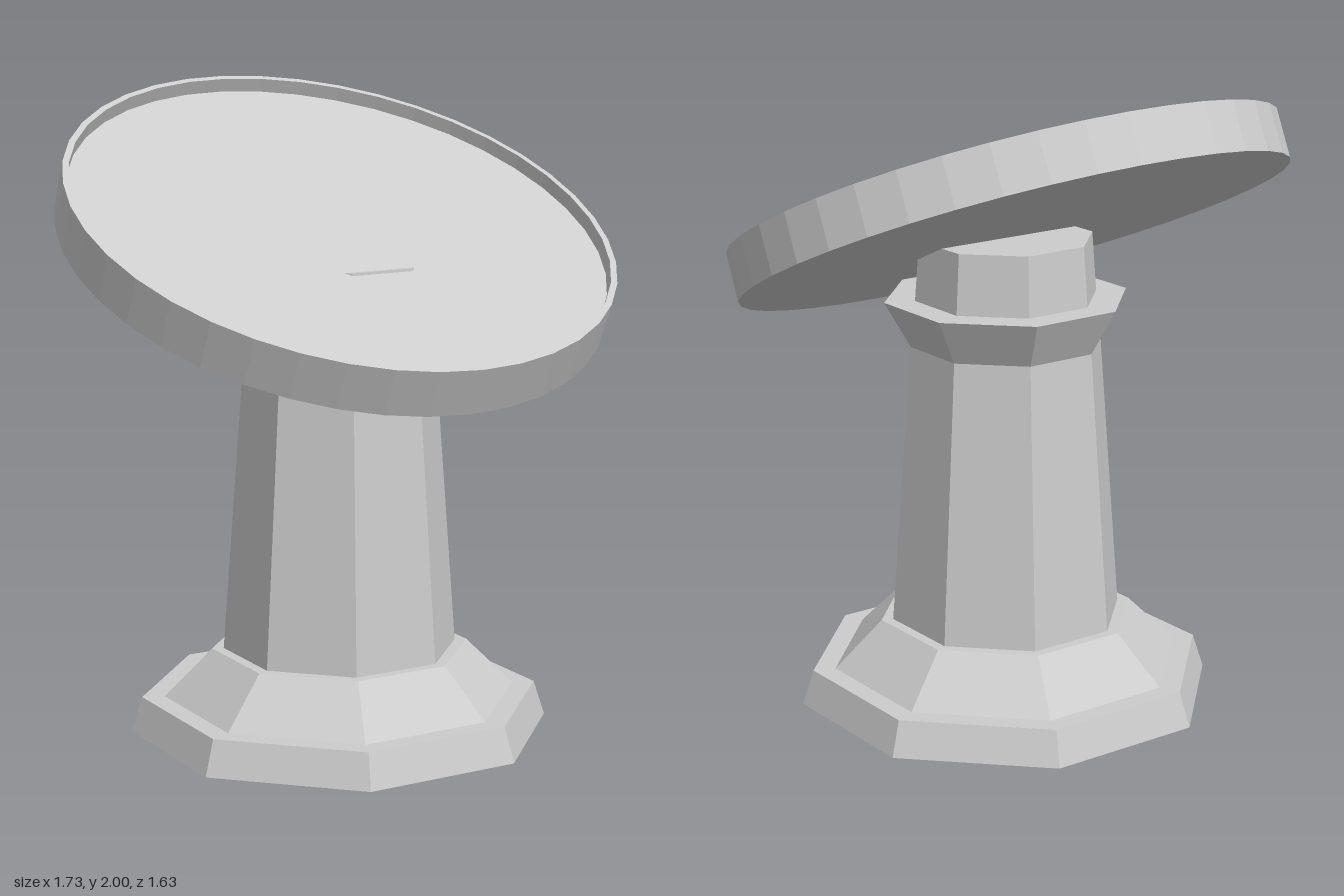
import * as THREE from 'three';

const stone = new THREE.MeshStandardMaterial({ color: 0xcccccc });
stone.name = 'stone grey';

// Faceted solid of revolution from [radius, height] pairs, bottom to top
function turned(name, profile, sides, phase = 0) {
  const points = profile.map(([r, y]) => new THREE.Vector2(r, y));
  const geometry = new THREE.LatheGeometry(points, sides, phase).toNonIndexed();
  geometry.computeVertexNormals();
  const mesh = new THREE.Mesh(geometry, stone);
  mesh.name = name;
  return mesh;
}

// Octagonal solid measured across its flats, with flats facing front and sides
function octagon(name, profile) {
  const k = 1 / Math.cos(Math.PI / 8);
  return turned(name, profile.map(([a, y]) => [a * k, y]), 8, Math.PI / 8);
}

export function createModel() {
  const model = new THREE.Group();
  model.name = 'tiltedDishPedestal';

  // Octagonal pedestal
  const pedestal = new THREE.Group();
  pedestal.name = 'pedestal';
  pedestal.position.z = 0.015;
  pedestal.add(
    octagon('base', [[0, 0], [0.613, 0], [0.58, 0.11], [0.515, 0.11], [0.375, 0.26], [0.33, 0.26]]),
    octagon('column', [[0.341, 0.26], [0.28, 1.15]]),
    octagon('collar', [[0.28, 1.15], [0.355, 1.295], [0.26, 1.295]]),
    octagon('neck', [[0.266, 1.295], [0.253, 1.482], [0, 1.482]]),
  );
  model.add(pedestal);

  // Shallow dish with a thin raised rim, tilted towards the front
  const dish = turned('dish', [
    [0, 0], [0.866, 0], [0.866, 0.154], [0.846, 0.154], [0.846, 0.107], [0, 0.107],
  ], 40);
  dish.position.set(0, 1.495, -0.03);
  dish.rotation.x = THREE.MathUtils.degToRad(25);
  model.add(dish);

  return model;
}
